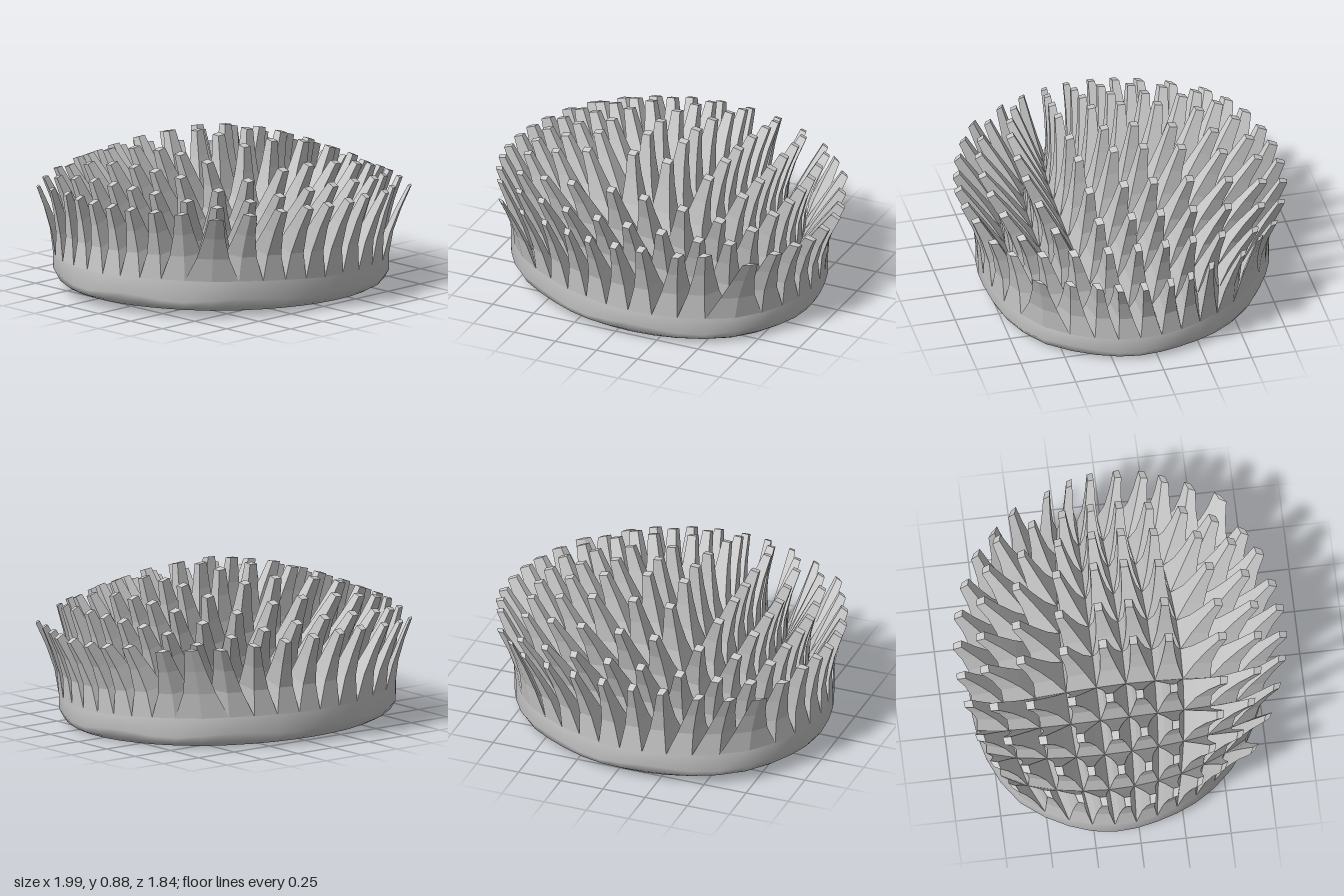
import * as THREE from 'three';

const N = 10; // spikes per side of the grid
const grid = (k) => (2 * k) / N - 1;

// Tip positions along the first, middle and last rows (x) and columns (z)
const TIP_X = {
  first: [-0.8, -0.66, -0.5, -0.3, -0.13, 0.05, 0.23, 0.41, 0.58, 0.7],
  middle: [-0.975, -0.81, -0.63, -0.43, -0.13, 0.09, 0.35, 0.56, 0.75, 0.97],
  last: [-0.74, -0.57, -0.4, -0.24, -0.1, 0.06, 0.21, 0.41, 0.54, 0.77],
};
const TIP_Z = {
  first: [-0.68, -0.5, -0.33, -0.2, -0.07, 0.07, 0.2, 0.34, 0.48, 0.66],
  middle: [-0.9, -0.77, -0.57, -0.33, -0.11, 0.06, 0.26, 0.56, 0.76, 0.9],
  last: [-0.62, -0.5, -0.3, -0.17, -0.05, 0.1, 0.24, 0.35, 0.49, 0.65],
};

function tipCoord(table, k, across) {
  const edge = across < 0 ? table.first[k] : table.last[k];
  return THREE.MathUtils.lerp(table.middle[k], edge, (across / 0.9) ** 2);
}

// Maps the square grid (u, v in -1..1) onto a rounded, slightly skewed outline.
function plan(u, v) {
  const p = u * Math.sqrt(1 - 0.48 * v * v);
  const q = v * Math.sqrt(1 - 0.48 * u * u);
  const skew = 1 + 0.09 * p * q;
  return [p * skew, q * skew];
}

const toX = (p) => -0.035 + 0.915 * p;
const toZ = (q) => -0.02 + 0.82 * q;

// Point of the low dome from which the spikes grow
function dome(u, v) {
  const [p, q] = plan(u, v);
  const r = Math.min(1, Math.hypot(p, q));
  const x = toX(p);
  return new THREE.Vector3(x, 0.18 + 0.27 * (1 - r ** 1.6) - 0.035 * x, toZ(q) + 0.03 * (1 - r * r));
}

function pushQuad(out, a, b, c, d) {
  for (const p of [a, b, c, a, c, d]) out.push(p.x, p.y, p.z);
}

// One four-sided spike: wide foot, narrowing and bending outward to a small square tip
function addSpike(out, i, j) {
  const foot = [[i, j], [i, j + 1], [i + 1, j + 1], [i + 1, j]].map(([a, b]) => dome(grid(a), grid(b)));
  const centre = foot.reduce((s, p) => s.add(p), new THREE.Vector3()).multiplyScalar(0.25);
  const x = tipCoord(TIP_X, i, grid(j + 0.5));
  const z = tipCoord(TIP_Z, j, grid(i + 0.5));
  const y = 0.89 - 0.32 * Math.hypot(x, z) ** 1.6 - 0.035 * x;
  const reach = new THREE.Vector3(x, y, z).sub(centre);
  // [height share, outward share, width share]
  const levels = [[0, 0, 1], [0.35, 0.25, 0.61], [0.68, 0.6, 0.4], [1, 1, 0.27]];
  const rings = levels.map(([h, o, s]) => foot.map((f) => f.clone().sub(centre).multiplyScalar(s).add(centre)
    .add(new THREE.Vector3(reach.x * o, reach.y * h, reach.z * o))));
  for (let l = 0; l < rings.length - 1; l++) {
    for (let k = 0; k < 4; k++) {
      const n = (k + 1) % 4;
      pushQuad(out, rings[l][k], rings[l][n], rings[l + 1][n], rings[l + 1][k]);
    }
  }
  pushQuad(out, ...rings[rings.length - 1]);
}

function geometryFrom(positions, index) {
  const geo = new THREE.BufferGeometry();
  geo.setAttribute('position', new THREE.Float32BufferAttribute(positions, 3));
  if (index) geo.setIndex(index);
  geo.computeVertexNormals();
  return geo;
}

// Grid points round the rim, anticlockwise seen from above
function rimLoop() {
  const loop = [];
  const corners = [[-1, -1], [-1, 1], [1, 1], [1, -1]];
  corners.forEach(([u, v], c) => {
    const [u2, v2] = corners[(c + 1) % 4];
    for (let k = 0; k < N; k++) loop.push([u + (u2 - u) * k / N, v + (v2 - v) * k / N]);
  });
  return loop;
}

export function createModel() {
  const model = new THREE.Group();
  const smooth = new THREE.MeshStandardMaterial({ color: 0xcccccc });
  const flat = new THREE.MeshStandardMaterial({ color: 0xcccccc, flatShading: true });
  const add = (name, geo, mat) => {
    const mesh = new THREE.Mesh(geo, mat);
    mesh.name = name;
    model.add(mesh);
  };

  // Rows of spikes
  for (let j = 0; j < N; j++) {
    const out = [];
    for (let i = 0; i < N; i++) addSpike(out, i, j);
    add(`spikeRow${j + 1}`, geometryFrom(out), flat);
  }

  // Side wall: rings from the slightly tilted underside up to the spike feet
  const loop = rimLoop();
  const count = loop.length;
  const underside = (x) => 0.022 * (1 - x / 0.82);
  const ringAt = (scale, lift, ripple) => loop.map(([u, v], k) => {
    const [p, q] = plan(u, v);
    const x = toX(p * scale);
    const wave = ripple * Math.sin((k / count) * Math.PI * 16);
    return new THREE.Vector3(x, underside(x) + lift + wave, toZ(q * scale));
  });
  const bottom = ringAt(0.935, 0, 0);
  const rings = [bottom, ringAt(0.97, 0.02, 0.004), ringAt(1, 0.065, 0.012), loop.map(([u, v]) => dome(u, v))];
  const index = [];
  for (let l = 0; l < rings.length - 1; l++) {
    for (let k = 0; k < count; k++) {
      const n = (k + 1) % count;
      const a = l * count + k, b = l * count + n;
      index.push(a, b, b + count, a, b + count, a + count);
    }
  }
  add('baseWall', geometryFrom(rings.flat().flatMap((p) => p.toArray()), index), smooth);

  // Flat underside
  const hub = new THREE.Vector3(toX(0), underside(toX(0)), toZ(0));
  const cap = bottom.flatMap((p, k) => [hub, bottom[(k + 1) % count], p].flatMap((w) => w.toArray()));
  add('baseUnderside', geometryFrom(cap), flat);

  return model;
}
